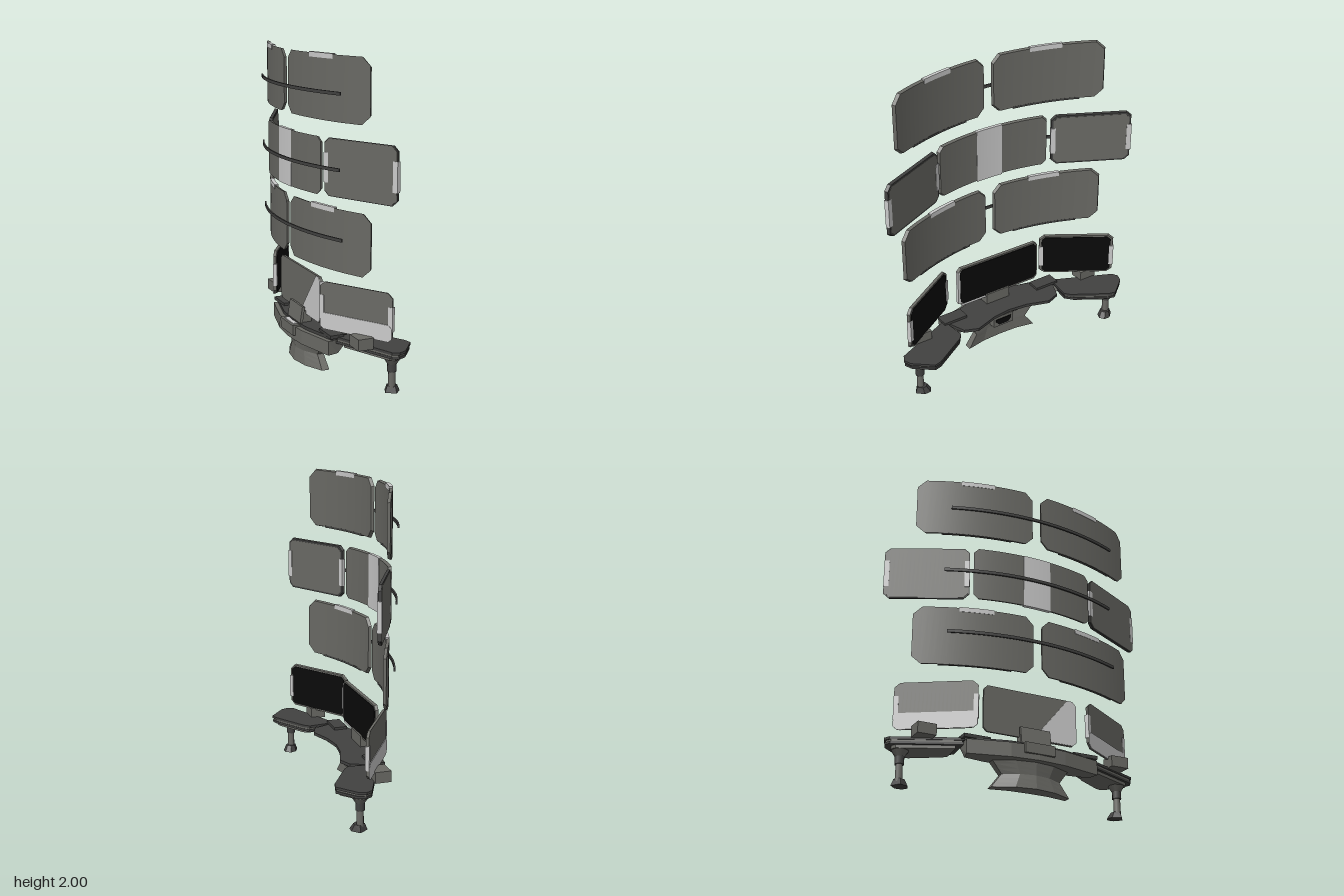
import * as THREE from 'three';
import { toCreasedNormals } from 'three/addons/utils/BufferGeometryUtils.js';

export function createModel() {
  const model = new THREE.Group();
  model.name = 'curvedScreenDesk';
  const material = (name, color) => {
    const m = new THREE.MeshStandardMaterial({ color });
    m.name = name;
    return m;
  };
  const grey = material('grey', 0x6a6a65);
  const dark = material('darkGrey', 0x414140);
  const light = material('lightGrey', 0xcbcbcb);
  const black = material('black', 0x0a0a0a);
  const MID = 0.02; // mirror plane of the desk
  const flip = (z) => 2 * MID - z;

  function add(name, geo, mat) {
    const mesh = new THREE.Mesh(geo, mat);
    mesh.name = name;
    model.add(mesh);
    return mesh;
  }
  function box(name, x0, x1, y0, y1, z0, z1, mat) {
    const mesh = add(name, new THREE.BoxGeometry(x1 - x0, y1 - y0, z1 - z0), mat);
    mesh.position.set((x0 + x1) / 2, (y0 + y1) / 2, (z0 + z1) / 2);
    return mesh;
  }

  // Plan paths: z -> [x, normal x, normal z], normals face the viewer (+x)
  const arc = (x0, R, zc = 0) => (z) => {
    const s = (z - zc) / R, c = Math.sqrt(1 - s * s);
    return [x0 + R * (1 - c), c, -s];
  };
  const line = (xa, za, xb, zb) => (z) => {
    const len = Math.hypot(xb - xa, zb - za), g = Math.sign(zb - za);
    return [xa + ((z - za) / (zb - za)) * (xb - xa), (g * (zb - za)) / len, (-g * (xb - xa)) / len];
  };

  // Plate following a path, with cut corners and a bevelled front edge
  function panel(name, path, z0, z1, y0, y1, d0, d1, mat, cut = 0, bevel = 0) {
    const N = 20, geo = new THREE.BoxGeometry(1, 1, 1, N, 1, 1), p = geo.attributes.position;
    for (let i = 0; i < p.count; i++) {
      const front = p.getZ(i) > 0, b = front ? bevel : 0;
      const k = Math.round((p.getX(i) + 0.5) * N), end = k === 0 || k === N;
      const hi = z1 - b, lo = z0 + b;
      const z = !cut ? hi + (lo - hi) * (k / N)
        : k === 0 ? hi : k === N ? lo : hi - cut + (lo - hi + 2 * cut) * ((k - 1) / (N - 2));
      const h = (y1 - y0) / 2 - b - (end ? cut : 0);
      const [x, nx, nz] = path(z), d = front ? d1 : d0;
      p.setXYZ(i, x + nx * d, (y0 + y1) / 2 + Math.sign(p.getY(i)) * h, z + nz * d);
    }
    return add(name, toCreasedNormals(geo, 0.3), mat);
  }

  // Upright prism from a plan outline of [x, z] points
  function slab(name, pts, y0, y1, mat, steps = 1, rule = null) {
    const shape = new THREE.Shape(pts.map(([x, z]) => new THREE.Vector2(x, z)));
    const geo = new THREE.ExtrudeGeometry(shape, { depth: y1 - y0, steps, bevelEnabled: false });
    geo.rotateX(Math.PI / 2).translate(0, y1, 0);
    if (rule) {
      const p = geo.attributes.position, v = new THREE.Vector3();
      for (let i = 0; i < p.count; i++) {
        rule(v.fromBufferAttribute(p, i));
        p.setXYZ(i, v.x, v.y, v.z);
      }
      geo.computeVertexNormals();
    }
    return add(name, geo, mat);
  }

  // Two rows of wide paired screens, each with a light top tab
  for (const [x0, R, zc, y0, y1, spans] of [
    [-0.22, 1.55, 0.01, 0.715, 1.095, [[0.045, 0.765], [-0.74, -0.015]]],
    [-0.23, 1.6, 0.01, 1.61, 1.995, [[0.04, 0.77], [-0.75, -0.02]]],
  ]) {
    const path = arc(x0, R, zc);
    for (const [a, b] of spans) {
      const m = (a + b) / 2;
      panel('wideScreen', path, a, b, y0, y1, 0, 0.02, grey, 0.05, 0.006);
      panel('wideScreenTab', path, m - 0.105, m + 0.105, y1 - 0.025, y1 + 0.005, -0.002, 0.022, light);
      panel('lowerTrim', path, m - 0.22, m + 0.22, y0 - 0.001, y0 + 0.012, 0.002, 0.021, dark);
    }
    const yb = y0 + 0.205 - (y0 > 1 ? 0.035 : 0);
    panel('rearBar', path, -0.55, 0.6, yb - 0.01, yb + 0.01, -0.038, -0.028, dark);
  }

  // Triple row: bowed centre and two flat side screens
  const bow = arc(-0.24, 1.43);
  panel('middleScreen', bow, -0.41, 0.41, 1.16, 1.51, 0, 0.02, grey, 0.03, 0.006);
  panel('middleStripe', bow, -0.09, 0.1, 1.159, 1.511, -0.002, 0.022, light);
  panel('rearBar', bow, -0.58, 0.58, 1.325, 1.345, -0.032, -0.022, dark);
  for (const s of [1, -1]) {
    const path = line(-0.165, s * 0.43, 0.07, s * 0.905);
    const span = (a, b) => (s > 0 ? [a, b] : [-b, -a]);
    panel('sideScreen', path, ...span(0.43, 0.905), 1.16, 1.51, 0, 0.02, dark, 0.03, 0.004);
    panel('sideScreenFace', path, ...span(0.445, 0.89), 1.175, 1.495, 0.018, 0.022, grey, 0.025);
    panel('sideScreenBack', path, ...span(0.435, 0.9), 1.165, 1.505, -0.003, 0.001, grey, 0.03);
    for (const z of [0.429, 0.877])
      panel('sideScreenClip', path, ...span(z, z + 0.029), 1.24, 1.42, -0.004, 0.024, light);
  }

  // Desk-level centre monitor
  const flat = line(-0.14, -0.31, -0.14, 0.32);
  panel('centreMonitor', flat, -0.31, 0.32, 0.325, 0.62, 0, 0.02, grey, 0.025, 0.003);
  panel('centreMonitorEdge', flat, 0.29, 0.322, 0.35, 0.595, -0.002, 0.022, light);
  panel('centreMonitorGlass', flat, -0.297, 0.305, 0.342, 0.607, 0.019, 0.024, black, 0.02);
  panel('centreMonitorLip', flat, 0.11, 0.3, 0.326, 0.342, 0.018, 0.022, light);
  const wedge = new THREE.ExtrudeGeometry(new THREE.Shape([
    [0.318, 0.595], [0.318, 0.35], [0.295, 0.327], [0.02, 0.327], [0.26, 0.618], [0.295, 0.618],
  ].map(([z, y]) => new THREE.Vector2(-z, y))), { depth: 0.005, bevelEnabled: false });
  add('centreMonitorBackPanel', wedge.rotateY(Math.PI / 2).translate(-0.144, 0, 0), light);
  box('centreStand', -0.17, -0.105, 0.26, 0.35, -0.07, 0.11, grey);
  box('centreBrace', -0.183, -0.165, 0.26, 0.38, -0.08, 0.12, grey).rotation.z = -0.15;

  // Desk-level side monitors
  for (const s of [1, -1]) {
    const mz = (z) => (s > 0 ? z : 0.03 - z);
    const span = (a, b) => [Math.min(mz(a), mz(b)), Math.max(mz(a), mz(b))];
    const path = line(-0.175, mz(0.39), 0.095, mz(0.82));
    panel('sideMonitor', path, ...span(0.39, 0.82), 0.325, 0.625, 0, 0.018, grey, 0.03, 0.004);
    panel('sideMonitorGlass', path, ...span(0.406, 0.804), 0.34, 0.61, 0.017, 0.022, black, 0.02);
    panel('sideMonitorBackPanel', path, ...span(0.392, 0.818), 0.326, 0.43, -0.004, 0.001, light, 0.02);
    for (const z of [0.389, 0.796])
      panel('sideMonitorClip', path, ...span(z, z + 0.025), 0.39, 0.54, -0.002, 0.024, light);
    const z = mz(0.67);
    box('sideMonitorStand', -0.08, 0.02, 0.27, 0.34, z - 0.06, z + 0.06, grey);
  }

  // Centre desk, built from half outlines mirrored about its middle
  const mirrored = (half) => [...half, ...half.map(([x, z]) => [x, flip(z)]).reverse().filter(([, z]) => z < MID)];
  const top = mirrored([[-0.2, MID], [-0.185, 0.2], [-0.12, 0.46], [0.06, 0.39], [0.095, 0.3], [0.045, 0.15], [0.03, MID]]);
  slab('centreDeskTop', top, 0.255, 0.275, dark);
  const apron = mirrored([[-0.23, MID], [-0.215, 0.2], [-0.15, 0.46], [0.0, 0.44], [0.07, 0.3], [0.035, 0.15], [0.02, MID]]);
  slab('centreDeskApron', apron, 0.165, 0.255, grey, 1, (v) => {
    if (v.y < 0.2 && v.x > -0.1) v.x = -0.07 + (v.x - 0.02) * 0.3;
  });
  box('rearBox', -0.24, -0.18, 0.2, 0.265, -0.08, 0.12, grey);
  box('rearBoxLid', -0.225, -0.195, 0.264, 0.27, -0.05, 0.09, light);

  // Pedestal with a waist
  const foot = mirrored([[-0.19, MID], [-0.17, 0.15], [-0.11, 0.28], [-0.06, 0.28], [-0.085, 0.15], [-0.09, MID]]);
  slab('pedestal', foot, 0, 0.175, grey, 6, (v) => {
    const waist = 1 - Math.min(1, Math.abs(v.y - 0.0875) / 0.0875);
    v.z = MID + (v.z - MID) * (1 - 0.25 * waist);
    v.x = -0.125 + (v.x + 0.125) * (1 - 0.15 * waist);
  });
  box('ventFrame', -0.09, -0.04, 0.112, 0.188, -0.057, 0.097, grey);
  const vent = new THREE.Shape([[-0.06, 0.17], [-0.06, 0.15], [-0.035, 0.125], [0.035, 0.125], [0.06, 0.15], [0.06, 0.17]]
    .map(([z, y]) => new THREE.Vector2(z - MID, y)));
  add('vent', new THREE.ExtrudeGeometry(vent, { depth: 0.005, bevelEnabled: false })
    .rotateY(Math.PI / 2).translate(-0.041, 0, 0), black);

  // Side wings, pads and legs
  const wing = [[-0.1, 0.45], [0.085, 0.43], [0.12, 0.46], [0.255, 0.68], [0.268, 0.73], [0.17, 0.85], [0.12, 0.87], [0.08, 0.85]];
  for (const s of [1, -1]) {
    const mz = (z) => (s > 0 ? z : flip(z));
    const outline = (k) => wing.map(([x, z]) => [0.1 + (x - 0.1) * k, mz(0.65 + (z - 0.65) * k)]);
    slab('wingTop', outline(1), 0.262, 0.278, dark);
    slab('wingCore', outline(0.95), 0.25, 0.262, grey);
    slab('wingLower', outline(0.98), 0.235, 0.25, dark);
    slab('wingUnderside', outline(0.8), 0.215, 0.235, grey);
    const zp = mz(0.385);
    box('cornerPad', -0.14, -0.05, 0.27, 0.292, zp - 0.085, zp + 0.085, dark);
    const zl = mz(0.765);
    const rod = (name, rt, rb, y0, y1, mat) =>
      add(name, new THREE.CylinderGeometry(rt, rb, y1 - y0, 8), mat).position.set(0.125, (y0 + y1) / 2, zl);
    rod('legBracket', 0.06, 0.028, 0.175, 0.225, grey);
    rod('legSleeve', 0.03, 0.03, 0.13, 0.18, dark);
    rod('leg', 0.022, 0.024, 0.02, 0.14, grey);
    const pad = slab('legFoot', [[-0.035, -0.03], [0.035, -0.03], [0.045, 0.03], [0.02, 0.065], [-0.02, 0.065], [-0.045, 0.03]],
      0, 0.04, dark, 1, (v) => { if (v.y > 0.02) { v.x *= 0.7; v.z *= 0.6; } });
    pad.position.set(0.125, 0, zl);
    pad.rotation.y = s > 0 ? Math.PI - 0.6 : 0.6;
  }
  return model;
}
